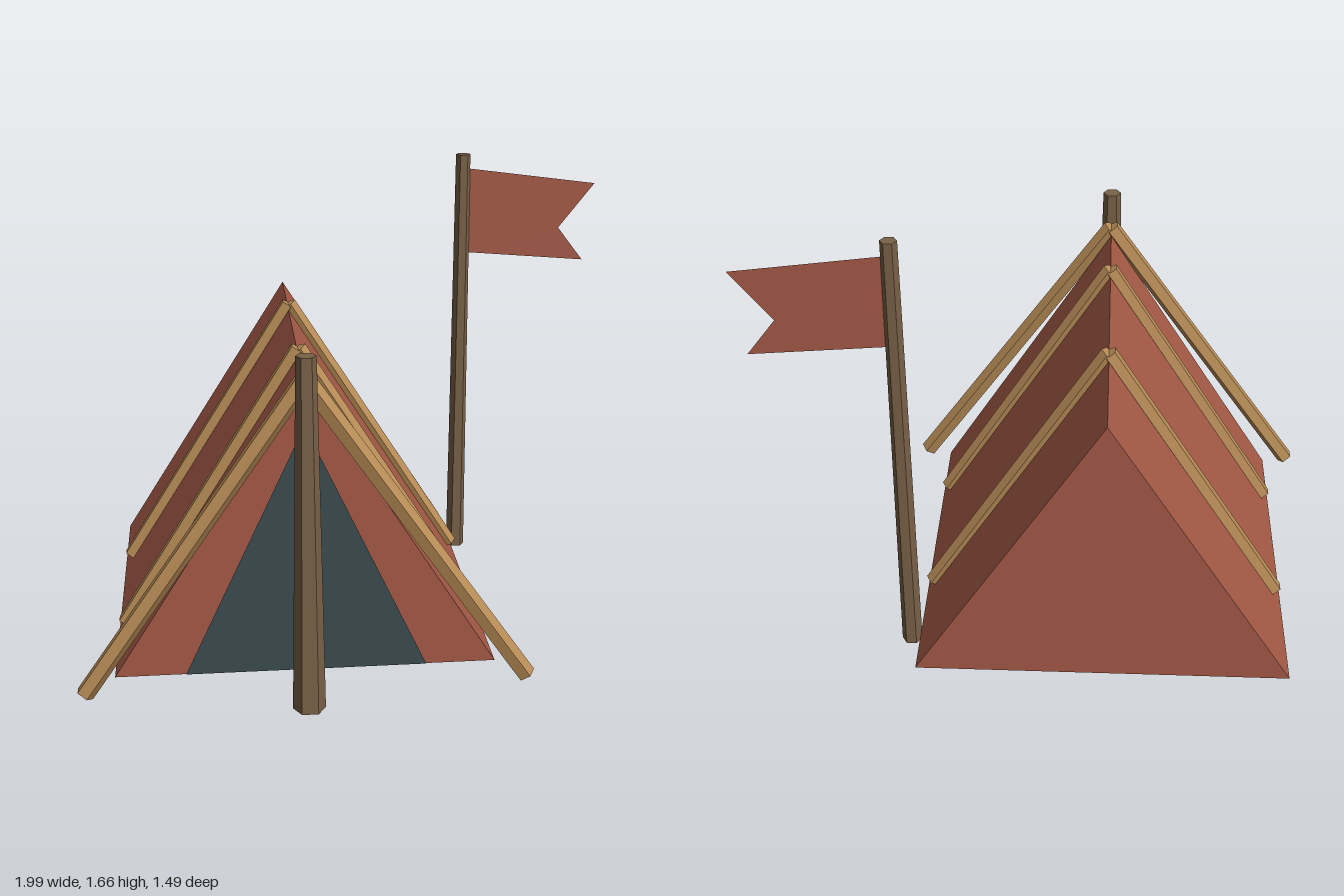
import * as THREE from 'three';

const RIDGE_X = -0.215; // centre line of the tent

const paint = (color, extra = {}) =>
  new THREE.MeshStandardMaterial({ color, flatShading: true, ...extra });

function polygon(points) {
  return new THREE.Shape(points.map(([x, y]) => new THREE.Vector2(x, y)));
}

export function createModel() {
  const model = new THREE.Group();
  const canvas = paint(0xa65a47);
  const cloth = paint(0xa65a47, { side: THREE.DoubleSide });
  const darkCloth = paint(0x3b4d52, { side: THREE.DoubleSide });
  const lightWood = paint(0xb98d57);
  const darkWood = paint(0x7a6248);

  const add = (name, geometry, material, x = 0, y = 0, z = 0) => {
    const mesh = new THREE.Mesh(geometry, material);
    mesh.name = name;
    mesh.position.set(x, y, z);
    model.add(mesh);
    return mesh;
  };

  // Closed tent body: a triangular prism
  const body = polygon([[-0.657, 0.083], [0.657, 0.083], [0, 1.125]]);
  add('tentBody', new THREE.ExtrudeGeometry(body, { depth: 1.318, bevelEnabled: false }),
    canvas, RIDGE_X, 0, -0.745);

  // Dark entrance just in front of the tent
  const door = polygon([[-0.415, 0.085], [0.415, 0.085], [0, 0.975]]);
  add('entrance', new THREE.ShapeGeometry(door), darkCloth, RIDGE_X, 0, 0.58);

  // Upright tapered hexagonal posts
  const post = (name, x, z, bottom, top, r0, r1) => {
    const geometry = new THREE.CylinderGeometry(r1, r0, top - bottom, 6).rotateY(Math.PI / 6);
    add(name, geometry, darkWood, x, (top + bottom) / 2, z);
  };
  post('frontPost', RIDGE_X, 0.695, 0, 1.25, 0.056, 0.034);
  post('flagPole', 0.477, -0.54, 0.04, 1.665, 0.036, 0.028);

  // Leaning five-sided poles, crossing in pairs at the ridge
  const up = new THREE.Vector3(0, 1, 0);
  const leaningPole = (name, foot, head, radius) => {
    const axis = head.clone().sub(foot);
    const geometry = new THREE.CylinderGeometry(radius, radius, axis.length(), 5).rotateY(Math.PI / 2);
    const mid = foot.clone().add(head).multiplyScalar(0.5);
    const pole = add(name, geometry, lightWood, mid.x, mid.y, mid.z);
    pole.quaternion.setFromUnitVectors(up, axis.normalize());
  };
  const pairs = [
    { name: 'frontPole', spread: 0.757, footY: 0.058, footZ: 0.637, headZ: 0.605, radius: 0.033 },
    { name: 'middlePole', spread: 0.632, footY: 0.138, footZ: 0.262, headZ: 0.262, radius: 0.03 },
    { name: 'rearPole', spread: 0.632, footY: 0.138, footZ: -0.328, headZ: -0.328, radius: 0.03 },
  ];
  for (const p of pairs) {
    for (const [side, s] of [['Left', 1], ['Right', -1]]) {
      leaningPole(p.name + side,
        new THREE.Vector3(RIDGE_X + s * p.spread, p.footY, p.footZ),
        new THREE.Vector3(RIDGE_X, 1.145, p.headZ), p.radius);
    }
  }

  // Swallow-tailed flag
  const flag = polygon([[0.49, 1.28], [0.96, 1.24], [0.86, 1.37], [0.997, 1.543], [0.49, 1.61]]);
  add('flag', new THREE.ShapeGeometry(flag), cloth, 0, 0, -0.54);

  return model;
}
